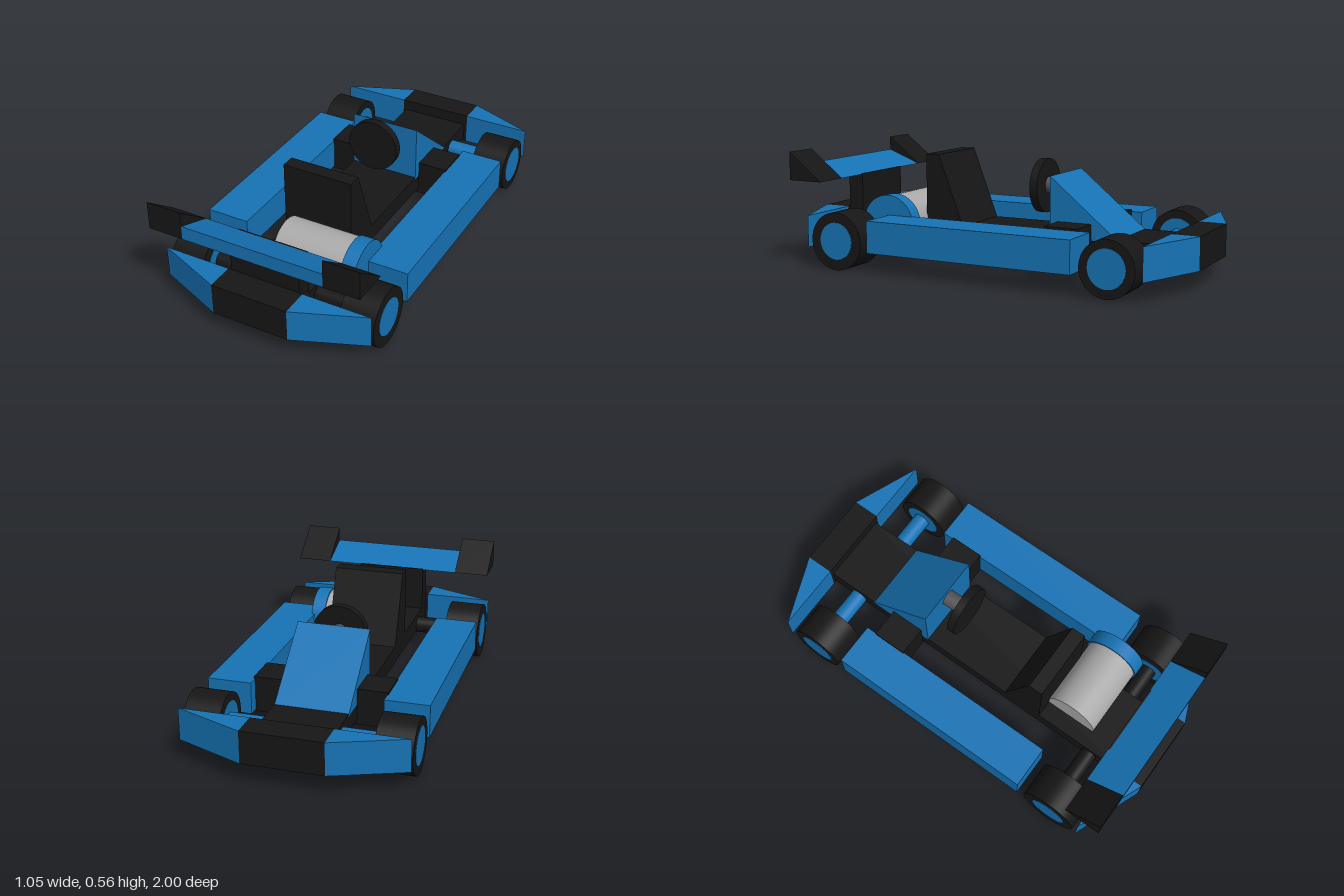
import * as THREE from 'three';

const mat = (color) => new THREE.MeshStandardMaterial({ color });

export function createModel() {
  const kart = new THREE.Group();
  kart.name = 'goKart';
  const blue = mat(0x1673b5), black = mat(0x161616), grey = mat(0xaaaaaa), darkGrey = mat(0x555559);

  const add = (name, geometry, material) => {
    const mesh = new THREE.Mesh(geometry, material);
    mesh.name = name;
    kart.add(mesh);
    return mesh;
  };
  // Box from its extents on each axis
  const box = (name, m, [x0, x1], [y0, y1], [z0, z1]) =>
    add(name, new THREE.BoxGeometry(x1 - x0, y1 - y0, z1 - z0), m)
      .position.set((x0 + x1) / 2, (y0 + y1) / 2, (z0 + z1) / 2);
  // Cylinder along x or z between two positions
  const rodX = (name, m, r, x0, x1, y, z) =>
    add(name, new THREE.CylinderGeometry(r, r, x1 - x0, 48).rotateZ(Math.PI / 2), m)
      .position.set((x0 + x1) / 2, y, z);
  const rodZ = (name, m, r, z0, z1, x, y) =>
    add(name, new THREE.CylinderGeometry(r, r, z1 - z0, 48).rotateX(Math.PI / 2), m)
      .position.set(x, y, (z0 + z1) / 2);
  const extrude = (points, depth) => new THREE.ExtrudeGeometry(
    new THREE.Shape(points.map(([a, b]) => new THREE.Vector2(a, b))), { depth, bevelEnabled: false });
  // Side profile of [z, y] points swept from x0 to x1
  const profile = (name, m, points, x0, x1) =>
    add(name, extrude(points.map(([z, y]) => [-z, y]), x1 - x0).rotateY(Math.PI / 2), m)
      .position.x = x0;
  // Plan outline of [x, z] points raised from y0 to y1
  const plan = (name, m, points, y0, y1) =>
    add(name, extrude(points.map(([x, z]) => [x, -z]), y1 - y0).rotateX(-Math.PI / 2), m)
      .position.y = y0;

  // Chassis
  box('floor', black, [-0.175, 0.175], [0.115, 0.2], [-0.9, 0.9]);
  box('sidePodBeam', black, [-0.32, 0.32], [0.09, 0.265], [-0.475, -0.305]);

  // Seat, nose cowl and steering
  profile('seatBack', black, [[0.19, 0.165], [0.405, 0.165], [0.405, 0.545], [0.335, 0.545]], -0.175, 0.175);
  profile('noseCowl', blue, [[-0.265, 0.19], [-0.265, 0.475], [-0.615, 0.19]], -0.175, 0.175);
  rodZ('steeringColumn', darkGrey, 0.04, -0.27, -0.17, 0, 0.408);
  rodZ('steeringWheel', black, 0.13, -0.175, -0.135, 0, 0.405);

  // Engine, offset to the left
  rodX('engine', grey, 0.132, -0.09, 0.27, 0.2125, 0.53);
  rodX('engineCover', blue, 0.14, 0.26, 0.33, 0.2125, 0.53);

  // Axles
  rodX('frontAxle', blue, 0.042, -0.36, 0.36, 0.14, -0.705);
  rodX('rearAxle', black, 0.042, -0.36, 0.36, 0.14, 0.7);

  // Rear wing
  box('wingPost', black, [-0.175, 0.175], [0.075, 0.425], [0.785, 0.865]);
  profile('rearWing', blue, [[0.785, 0.422], [0.965, 0.422], [0.965, 0.49]], -0.35, 0.35);

  for (const side of [-1, 1]) {
    const span = (a, b) => (side > 0 ? [a, b] : [-b, -a]);
    const label = side > 0 ? 'left' : 'right';

    box(label + 'SidePod', blue, span(0.315, 0.525), [0.1, 0.255], [-0.53, 0.525]);
    profile(label + 'WingTip', black, [[0.785, 0.422], [0.965, 0.422], [0.965, 0.56]], ...span(0.35, 0.525));

    // Tyres with rims showing on both faces
    for (const [end, r, z] of [['Front', 0.131, -0.7], ['Rear', 0.14, 0.702]]) {
      rodX(label + end + 'Tyre', black, r, ...span(0.352, 0.523), 0.141, z);
      rodX(label + end + 'Rim', blue, 0.09, ...span(0.35, 0.525), 0.143, z);
    }
  }

  // Bumpers: black centre with swept blue wedges
  for (const [end, s] of [['front', -1], ['rear', 1]]) {
    box(end + 'BumperCentre', black, [-0.19, 0.19], [0.1, 0.255], s > 0 ? [0.865, 1] : [-1, -0.865]);
    for (const side of [-1, 1]) {
      plan(end + (side > 0 ? 'Left' : 'Right') + 'BumperWedge', blue,
        [[0.19 * side, s], [0.525 * side, 0.865 * s], [0.19 * side, 0.865 * s]], 0.1, 0.255);
    }
  }
  return kart;
}
